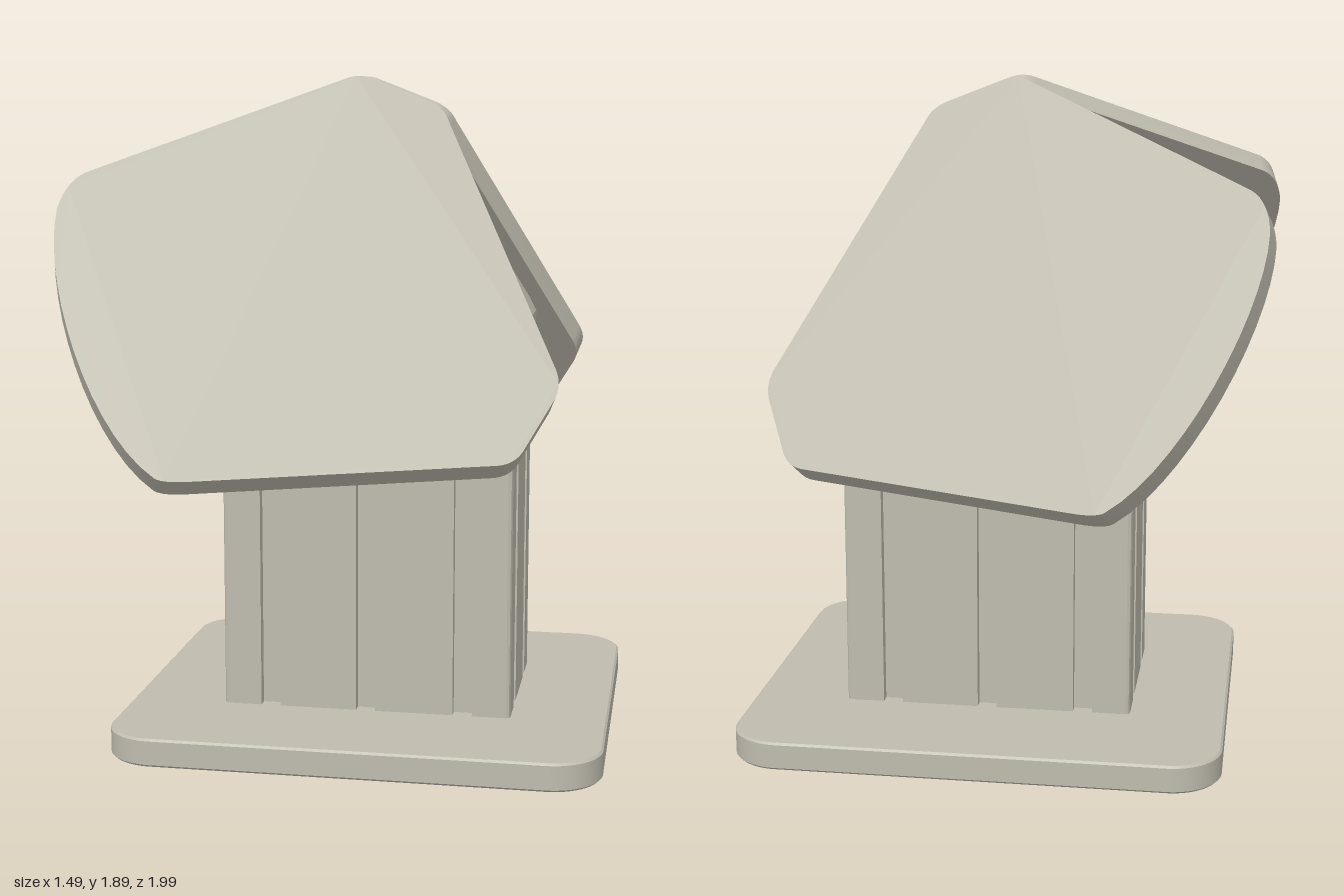
import * as THREE from 'three';
import { toCreasedNormals } from 'three/addons/utils/BufferGeometryUtils.js';
import { ConvexGeometry } from 'three/addons/geometries/ConvexGeometry.js';

// Rounded rectangle centred on the origin
function roundedRect(w, d, r) {
  const s = new THREE.Shape(), a = w / 2 - r, b = d / 2 - r;
  s.absarc(a, b, r, 0, Math.PI / 2);
  s.absarc(-a, b, r, Math.PI / 2, Math.PI);
  s.absarc(-a, -b, r, Math.PI, Math.PI * 1.5);
  s.absarc(a, -b, r, Math.PI * 1.5, Math.PI * 2);
  s.closePath();
  return s;
}

// Rectangular outline with notches cut into every side
function groovedRect(w, d, groovesX, groovesZ) {
  const half = 0.028, depth = 0.03, c = 0.012;
  const s = new THREE.Shape();
  let first = true;
  for (let side = 0; side < 4; side++) {
    const along = (side % 2 ? d : w) / 2, out = (side % 2 ? w : d) / 2;
    const angle = side * Math.PI / 2, cos = Math.cos(angle), sin = Math.sin(angle);
    const add = (u, v) => {
      const x = u * cos - v * sin, y = u * sin + v * cos;
      first ? s.moveTo(x, y) : s.lineTo(x, y);
      first = false;
    };
    add(-along + c, -out);
    for (const g of side % 2 ? groovesZ : groovesX) {
      add(g - half, -out);
      add(g - half, -out + depth);
      add(g + half, -out + depth);
      add(g + half, -out);
    }
    add(along - c, -out);
    add(along - c * 0.3, -out + c * 0.3);
  }
  s.closePath();
  return s;
}

// Panel outline as seen straight from the front
function panelOutline() {
  const s = new THREE.Shape();
  s.moveTo(-0.735, 1.53);
  s.bezierCurveTo(-0.73, 1.35, -0.54, 1.0, -0.36, 0.893);
  s.quadraticCurveTo(-0.34, 0.882, -0.28, 0.883);
  s.lineTo(0.46, 0.9);
  s.quadraticCurveTo(0.51, 0.9, 0.53, 0.935);
  s.lineTo(0.595, 1.045);
  s.quadraticCurveTo(0.615, 1.08, 0.595, 1.12);
  s.lineTo(0.25, 1.765);
  s.quadraticCurveTo(0.235, 1.8, 0.19, 1.818);
  s.lineTo(0.03, 1.88);
  s.quadraticCurveTo(-0.01, 1.897, -0.05, 1.878);
  s.lineTo(-0.68, 1.628);
  s.quadraticCurveTo(-0.73, 1.605, -0.735, 1.53);
  return s;
}

// Leaning panel; its outer face is the plane z = 1.608 - 0.322x - 0.819y, mirrored for side -1
function panelGeometry(side) {
  const a = 1.608, b = 0.322, c = 0.819, t = 0.07;
  const n = new THREE.Vector3(b, c, 1).normalize();
  const k = side > 0 ? t : 0;
  const g = new THREE.ExtrudeGeometry(panelOutline(), { depth: t, bevelEnabled: false, curveSegments: 14 });
  g.applyMatrix4(new THREE.Matrix4().set(
    1, 0, side * n.x, -n.x * k,
    0, 1, side * n.y, -n.y * k,
    -side * b, -side * c, n.z, side * a - n.z * k,
    0, 0, 0, 1));
  return toCreasedNormals(g, 0.5);
}

export function createModel() {
  const group = new THREE.Group();
  const stone = new THREE.MeshStandardMaterial({ color: 0xbfbcae });
  stone.name = 'warm grey';
  const add = (name, geometry) => {
    const mesh = new THREE.Mesh(geometry, stone);
    mesh.name = name;
    group.add(mesh);
    return mesh;
  };

  // Base slab with rounded corners and a fine edge chamfer
  const e = 0.006;
  const base = new THREE.ExtrudeGeometry(roundedRect(1.385 - 2 * e, 1.25 - 2 * e, 0.14), {
    depth: 0.08 - 2 * e, bevelSize: e, bevelThickness: e, bevelSegments: 1, curveSegments: 10 });
  base.rotateX(-Math.PI / 2);
  add('base', toCreasedNormals(base, 0.5)).position.set(0.0475, e, 0);

  // Grooved column
  const column = new THREE.ExtrudeGeometry(
    groovedRect(0.835, 0.55, [-0.28, 0, 0.28], [-0.138, 0.138]), { depth: 0.985, bevelEnabled: false });
  column.rotateX(-Math.PI / 2);
  add('column', column).position.set(0.0475, 0.075, 0);

  // Head block: tapers toward the right end, sloped there, sides trimmed inside the panels
  const half = [
    [-0.37, 1.055, 0.46], [-0.37, 1.5, 0.46], [-0.37, 1.55, 0.42], [0.27, 1.55, 0.213],
    [0.404, 1.302, 0.373], [0.47, 1.18, 0.365], [0.47, 1.055, 0.365]];
  const points = half.flatMap(([x, y, z]) => [new THREE.Vector3(x, y, z), new THREE.Vector3(x, y, -z)]);
  add('head', new ConvexGeometry(points));

  // Pair of leaning panels
  add('frontPanel', panelGeometry(1));
  add('backPanel', panelGeometry(-1));

  // Centre the whole
  group.position.x = 0;
  return group;
}
